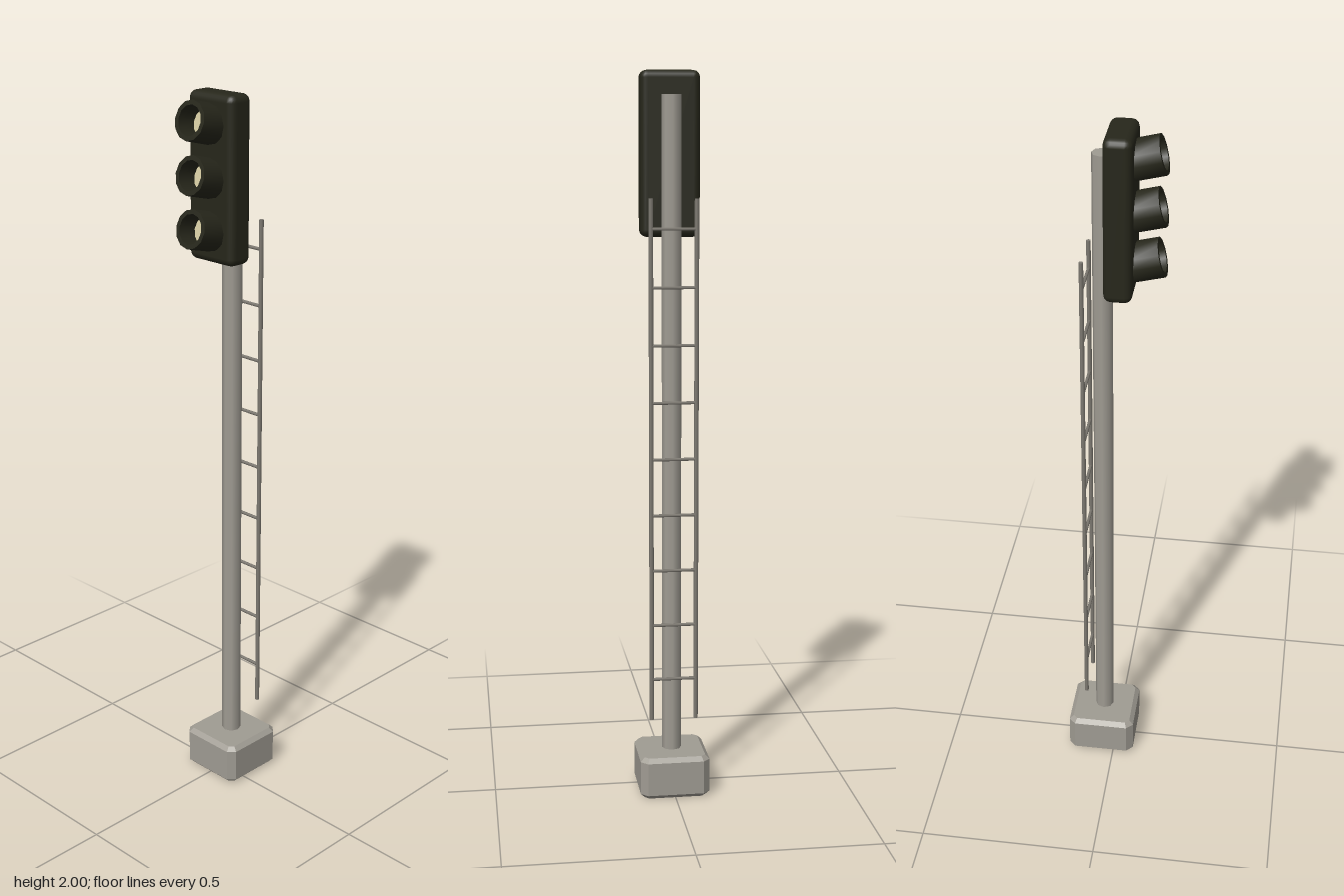
import * as THREE from 'three';
import { RoundedBoxGeometry } from 'three/addons/geometries/RoundedBoxGeometry.js';
import { toCreasedNormals } from 'three/addons/utils/BufferGeometryUtils.js';

const material = (name, color) => {
  const m = new THREE.MeshStandardMaterial({ color });
  m.name = name;
  return m;
};

// Square block with every edge and upright corner chamfered by c, centred on the origin
function chamferedBlock(width, height, c) {
  const a = width / 2 - c, b = a - c;
  const outline = [[a, -b], [a, b], [b, a], [-b, a], [-a, b], [-a, -b], [-b, -a], [b, -a]]
    .map(([x, y]) => new THREE.Vector2(x, y));
  const block = new THREE.ExtrudeGeometry(new THREE.Shape(outline), {
    depth: height - 2 * c, bevelSize: c, bevelThickness: c, bevelSegments: 1,
  });
  return block.center().rotateX(-Math.PI / 2);
}

export function createModel() {
  const model = new THREE.Group();
  model.name = 'signalPost';
  const grey = material('concreteGrey', 0xa09c93);
  const black = material('signalBlack', 0x27271b);
  const steel = material('ladderSteel', 0x7f7b73);
  const cream = material('lensCream', 0xd3caa0);

  const add = (parent, name, geometry, mat, x, y, z) => {
    const mesh = new THREE.Mesh(geometry, mat);
    mesh.name = name;
    mesh.position.set(x, y, z);
    parent.add(mesh);
    return mesh;
  };

  // Bevelled foot and round pole
  const poleZ = -0.037;
  add(model, 'base', chamferedBlock(0.195, 0.118, 0.012), grey, 0, 0.059, poleZ);
  add(model, 'pole', new THREE.CylinderGeometry(0.027, 0.027, 1.835, 8), grey, 0, 1.0175, poleZ);

  // Signal head
  add(model, 'signalHead', new RoundedBoxGeometry(0.162, 0.442, 0.075, 2, 0.02), black, 0, 1.779, 0.0105);

  // Hollow lamp hoods tilted slightly upward, each with a recessed lens
  const profile = [[0.038, -0.08], [0.052, -0.08], [0.052, 0], [0.04, 0], [0.038, -0.08]]
    .map(([r, y]) => new THREE.Vector2(r, y));
  const hoodGeometry = toCreasedNormals(new THREE.LatheGeometry(profile, 12), 0.7);
  hoodGeometry.rotateX(Math.PI / 2);
  const lensGeometry = new THREE.CircleGeometry(0.039, 12);
  [1.939, 1.8, 1.661].forEach((y, i) => {
    const lamp = new THREE.Group();
    lamp.name = 'lamp' + (i + 1);
    lamp.position.set(0, y, 0.117);
    lamp.rotation.x = -0.25;
    add(lamp, 'hood', hoodGeometry, black, 0, 0, 0);
    add(lamp, 'lens', lensGeometry, cream, 0, 0, -0.055);
    model.add(lamp);
  });

  // Ladder behind the pole
  const ladder = new THREE.Group();
  ladder.name = 'ladder';
  ladder.position.z = -0.083;
  const railGeometry = new THREE.CylinderGeometry(0.0063, 0.0063, 1.445, 6);
  railGeometry.rotateY(Math.PI / 6);
  for (const side of [-1, 1]) add(ladder, 'rail', railGeometry, steel, side * 0.062, 0.9405, 0);
  const rungGeometry = new THREE.CylinderGeometry(0.0045, 0.0045, 0.124, 6);
  rungGeometry.rotateZ(Math.PI / 2);
  for (let i = 0; i < 9; i++) add(ladder, 'rung', rungGeometry, steel, 0, 0.335 + i * 0.156, 0);
  model.add(ladder);

  return model;
}
